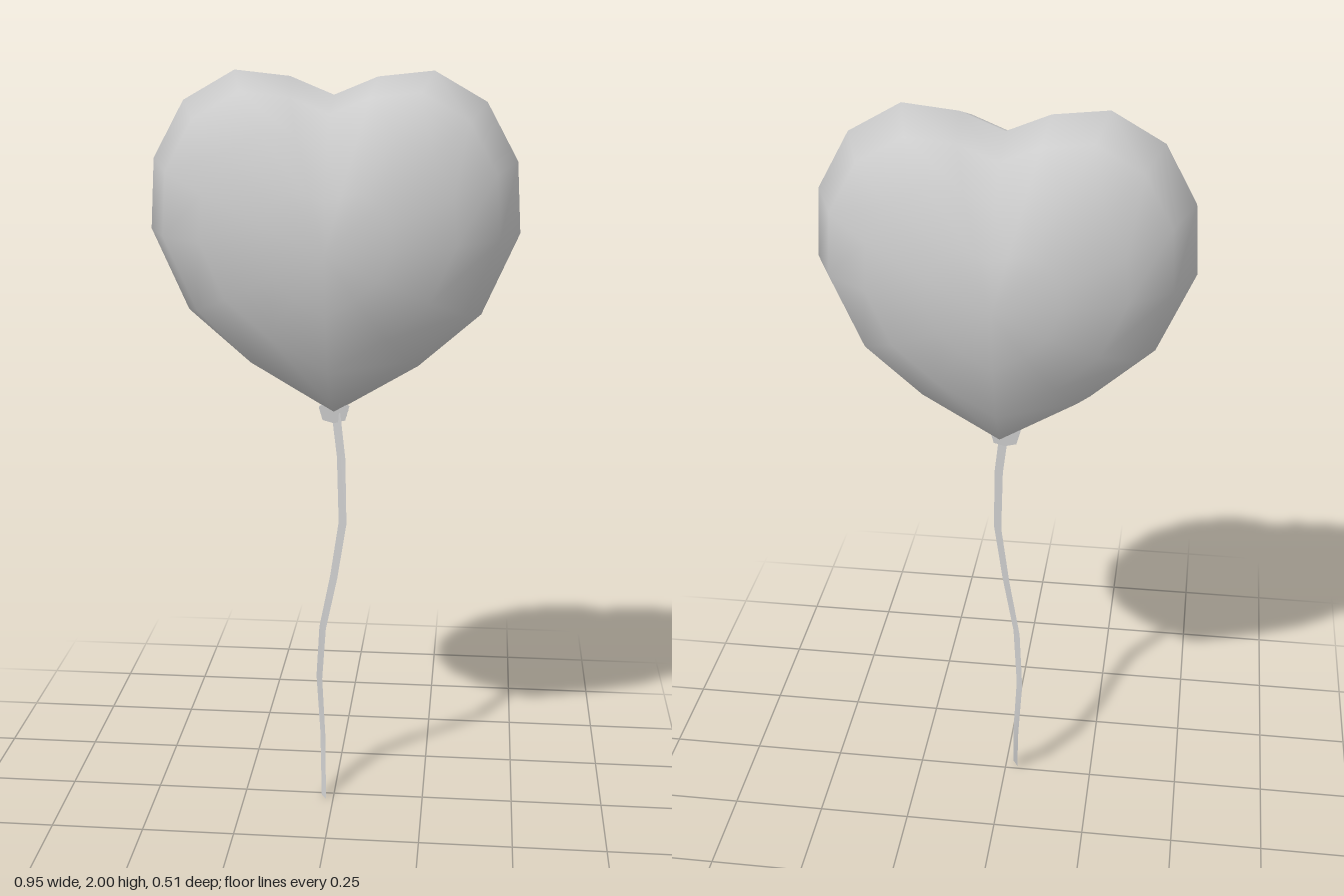
import * as THREE from 'three';

const material = new THREE.MeshStandardMaterial({ color: 0xcccccc });
const thinMaterial = new THREE.MeshStandardMaterial({ color: 0xcccccc, side: THREE.DoubleSide });

function buildGeometry(positions, index) {
  const geometry = new THREE.BufferGeometry();
  geometry.setAttribute('position', new THREE.Float32BufferAttribute(positions, 3));
  geometry.setIndex(index);
  geometry.computeVertexNormals();
  return geometry;
}

// Inflated heart: the outline shrinks along an elliptical dome to a pole on each side
function heartGeometry() {
  const centreY = 1.58, depth = 0.256;
  const half = [[0, 0.36], [0.11, 0.405], [0.25, 0.42], [0.382, 0.345], [0.462, 0.2],
    [0.473, 0.02], [0.38, -0.19], [0.22, -0.33], [0, -0.46]];
  const outline = [...half, ...half.slice(1, -1).reverse().map(([x, y]) => [-x, y])];
  const angles = [-70, -48, -27, 0, 27, 48, 70];
  const n = outline.length, rows = angles.length;
  const positions = [], index = [];

  for (const degrees of angles) {
    const a = THREE.MathUtils.degToRad(degrees);
    for (const [x, y] of outline) {
      positions.push(x * Math.cos(a), centreY + y * Math.cos(a), depth * Math.sin(a));
    }
  }
  const backPole = n * rows, frontPole = backPole + 1;
  positions.push(0, centreY, -depth, 0, centreY, depth);

  for (let i = 0; i < n; i++) {
    const next = (i + 1) % n;
    for (let j = 0; j < rows - 1; j++) {
      const a = j * n + i, b = j * n + next;
      index.push(a, a + n, b + n, a, b + n, b);
    }
    const last = (rows - 1) * n;
    index.push(backPole, i, next, last + i, frontPole, last + next);
  }
  return buildGeometry(positions, index);
}

// Flat ribbon that sways and slowly twists on its way down
function stringGeometry() {
  const path = [[0.005, 1.12, 0.004], [0.02, 1.0, 0.015], [0.025, 0.82, 0.025], [0, 0.66, 0.01],
    [-0.033, 0.5, -0.012], [-0.045, 0.34, -0.037], [-0.035, 0.17, -0.032], [-0.027, 0, 0.022]];
  const halfWidth = 0.0135;
  const positions = [], index = [];
  path.forEach(([x, y, z], i) => {
    const twist = THREE.MathUtils.degToRad(58 - 29 * y);
    const dx = halfWidth * Math.cos(twist), dz = halfWidth * Math.sin(twist);
    positions.push(x - dx, y, z - dz, x + dx, y, z + dz);
    if (i > 0) {
      const k = 2 * i;
      index.push(k - 2, k, k + 1, k - 2, k + 1, k - 1);
    }
  });
  return buildGeometry(positions, index);
}

// Flattened tied neck under the heart
function knotGeometry() {
  const shape = new THREE.Shape([[-0.02, 1.15], [-0.04, 1.135], [-0.03, 1.1], [0, 1.092],
    [0.03, 1.1], [0.04, 1.135], [0.02, 1.15]].map(([x, y]) => new THREE.Vector2(x, y)));
  const geometry = new THREE.ExtrudeGeometry(shape, { depth: 0.016, bevelEnabled: false });
  return geometry.translate(0, 0, -0.008);
}

export function createModel() {
  const model = new THREE.Group();
  model.name = 'heartBalloon';
  const add = (name, geometry, mat) => {
    const mesh = new THREE.Mesh(geometry, mat);
    mesh.name = name;
    model.add(mesh);
  };
  add('heart', heartGeometry(), material);
  add('knot', knotGeometry(), material);
  add('string', stringGeometry(), thinMaterial);
  return model;
}
